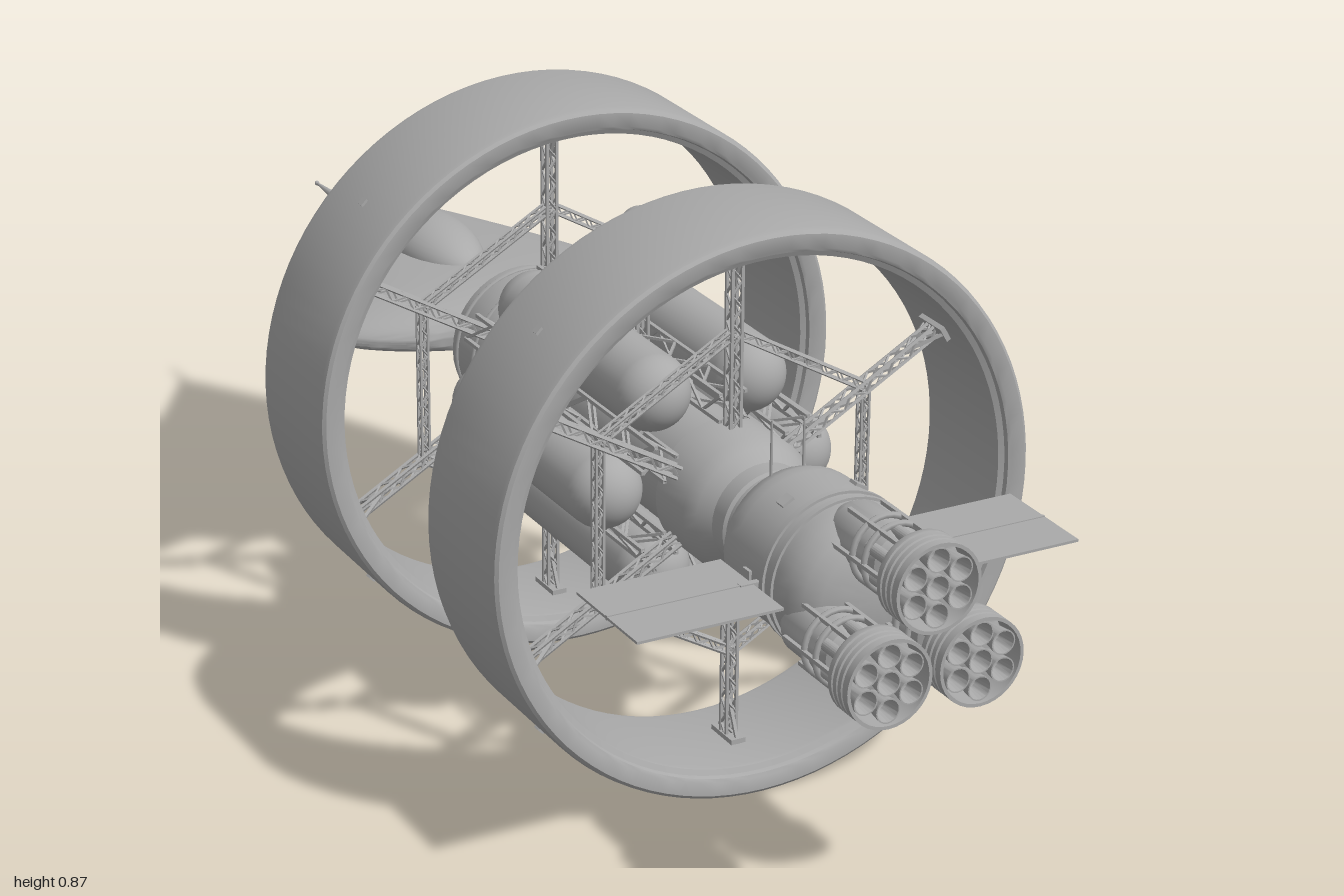
import * as THREE from 'three';
import { mergeGeometries, toCreasedNormals } from 'three/addons/utils/BufferGeometryUtils.js';

const hullGrey = new THREE.MeshStandardMaterial({ color: 0xaaaaaa });
hullGrey.name = 'hullGrey';
const V = (x, y, z) => new THREE.Vector3(x, y, z);
const AXIS_Y = 0.435;

export function createModel() {
  const model = new THREE.Group();
  model.name = 'ringShip';
  // everything below is built around the ship axis (z) and lifted at the end
  const ship = new THREE.Group();
  ship.name = 'ship';
  ship.position.y = AXIS_Y;
  model.add(ship);

  const add = (name, geo, x = 0, y = 0, z = 0, parent = ship) => {
    const m = new THREE.Mesh(geo, hullGrey);
    m.name = name;
    m.position.set(x, y, z);
    parent.add(m);
    return m;
  };
  // turned part along z, from [radius, z] pairs
  const turned = (pts, seg = 40) => {
    const g = new THREE.LatheGeometry(pts.map(p => new THREE.Vector2(p[0], p[1])), seg);
    g.rotateX(Math.PI / 2);
    return toCreasedNormals(g, 0.6);
  };
  const bar = (a, b, t) => {
    const d = b.clone().sub(a);
    const g = new THREE.BoxGeometry(t, t, d.length());
    g.applyQuaternion(new THREE.Quaternion().setFromUnitVectors(V(0, 0, 1), d.normalize()));
    return g.translate((a.x + b.x) / 2, (a.y + b.y) / 2, (a.z + b.z) / 2);
  };
  // square lattice girder from a to b
  const girder = (a, b, w, side, t = 0.0045) => {
    const dir = b.clone().sub(a).normalize();
    const s = side.clone().multiplyScalar(w / 2);
    const u = dir.clone().cross(side).normalize().multiplyScalar(w / 2);
    const corners = [s.clone().add(u), s.clone().sub(u), s.clone().add(u).negate(), u.clone().sub(s)];
    const n = Math.max(2, Math.round(a.distanceTo(b) / (w * 1.3)));
    const at = (c, i) => a.clone().lerp(b, i / n).add(corners[c % 4]);
    const bars = [];
    for (let c = 0; c < 4; c++) {
      bars.push(bar(at(c, 0), at(c, n), t));
      for (let i = 0; i < n; i++) bars.push(bar(at(c + i % 2, i), at(c + (i + 1) % 2, i + 1), t * 0.65));
    }
    return mergeGeometries(bars);
  };
  const polar = (r, deg, z = 0) => V(r * Math.cos(deg * Math.PI / 180), r * Math.sin(deg * Math.PI / 180), z);
  const zAxis = V(0, 0, 1);

  // the two habitat rings with their spokes and hexagonal bracing
  for (const [name, z] of [['front', 0.445], ['rear', -0.125]]) {
    add(name + 'Ring', turned([
      [0.427, -0.108], [0.432, -0.104], [0.434, -0.096], [0.434, 0.096], [0.432, 0.104], [0.427, 0.108],
      [0.406, 0.108], [0.401, 0.105], [0.399, 0.098], [0.391, 0.094], [0.390, 0.088],
      [0.390, -0.088], [0.391, -0.094], [0.399, -0.098], [0.401, -0.105], [0.406, -0.108], [0.427, -0.108],
    ], 96), 0, 0, z);
    for (let i = 0; i < 6; i++) {
      const deg = 30 + i * 60;
      add(name + 'Spoke', girder(polar(0.08, deg, z), polar(0.39, deg, z), 0.016, zAxis));
      add(name + 'Brace', girder(polar(0.25, deg, z), polar(0.25, deg + 60, z), 0.012, zAxis, 0.0035));
      const foot = add(name + 'SpokeFoot', new THREE.BoxGeometry(0.008, 0.024, 0.06));
      foot.position.copy(polar(0.386, deg, z));
      foot.rotation.z = deg * Math.PI / 180;
      // splayed struts where the spoke meets the ring
      for (const s of [-1, 1]) add(name + 'SpokeStrut', bar(polar(0.33, deg, z), polar(0.388, deg, z + s * 0.027), 0.005));
    }
    for (let i = 0; i < 4; i++) {
      const nub = add(name + 'Thruster', new THREE.BoxGeometry(0.008, 0.012, 0.012));
      nub.position.copy(polar(0.434, 45 + i * 90, z - 0.005));
      nub.rotation.z = (45 + i * 90) * Math.PI / 180;
    }
  }

  // six long tanks with lengthwise girders between them
  for (let i = 0; i < 6; i++) {
    const p = polar(0.157, i * 60, 0.165);
    add('tank', new THREE.CapsuleGeometry(0.058, 0.36, 10, 32).rotateX(Math.PI / 2), p.x, p.y, p.z);
    const d = 30 + i * 60;
    add('lengthGirder', girder(polar(0.135, d, -0.125), polar(0.135, d, 0.445), 0.04, polar(1, d + 90), 0.006));
  }

  // vertical pods on short girders
  for (const s of [-1, 1]) {
    add('pod', new THREE.CapsuleGeometry(0.031, 0.024, 10, 24), 0, s * 0.302, 0.165);
    add('podGirder', girder(V(0, s * 0.09, 0.165), V(0, s * 0.262, 0.165), 0.018, zAxis));
  }

  // central core, from the rear docking disc to the front neck
  add('core', turned([
    [0, -0.25], [0.05, -0.25], [0.055, -0.24], [0.09, -0.24], [0.118, -0.225], [0.12, -0.215], [0.12, -0.14],
    [0.11, -0.115], [0.092, -0.10], [0.092, 0.40], [0.105, 0.41], [0.105, 0.49], [0.095, 0.51],
    [0.08, 0.53], [0.08, 0.56], [0.074, 0.565], [0.08, 0.57], [0.08, 0.585], [0.07, 0.60], [0, 0.60],
  ]));
  for (const z of [-0.15, -0.205]) add('coreBand', new THREE.TorusGeometry(0.12, 0.004, 6, 48), 0, 0, z);

  // drive module with bands
  add('driveModule', turned([
    [0, 0.585], [0.06, 0.587], [0.088, 0.595], [0.106, 0.61], [0.114, 0.632], [0.115, 0.65],
    [0.115, 0.77], [0.112, 0.795], [0.10, 0.818], [0.08, 0.833], [0.05, 0.842], [0, 0.845],
  ]));
  for (const z of [0.735, 0.758]) add('driveBand', new THREE.CylinderGeometry(0.119, 0.119, 0.009, 48).rotateX(Math.PI / 2), 0, 0, z);
  for (let i = 0; i < 6; i++) {
    const box = add('driveHatch', new THREE.BoxGeometry(0.008, 0.02, 0.018));
    box.position.copy(polar(0.115, 60 * i, 0.695));
    box.rotation.z = i * Math.PI / 3;
  }

  // three engine clusters of seven nozzles
  const nozzle = turned([
    [0.009, 0.88], [0.009, 0.94], [0.014, 0.96], [0.0185, 0.997], [0.0165, 0.997], [0.012, 0.968], [0, 0.962],
  ], 20);
  for (const deg of [90, 210, 330]) {
    const c = polar(0.083, deg);
    const cluster = new THREE.Group();
    cluster.name = 'engineCluster';
    cluster.position.copy(c);
    ship.add(cluster);
    add('engineTank', turned([
      [0, 0.76], [0.035, 0.77], [0.045, 0.79], [0.046, 0.88], [0.04, 0.90], [0.025, 0.912], [0, 0.915],
    ], 28), 0, 0, 0, cluster);
    for (const z of [0.86, 0.89]) add('engineBand', new THREE.TorusGeometry(0.05, 0.005, 6, 28), 0, 0, z, cluster);
    // ribbed shroud, open at the end
    const rib = [];
    for (let i = 0; i < 4; i++) rib.push([0.066, 0.95 + i * 0.0125], [0.066, 0.958 + i * 0.0125], [0.063, 0.96 + i * 0.0125]);
    add('engineShroud', turned([[0, 0.945], [0.063, 0.945], ...rib.slice(0, -1), [0.066, 1], [0.061, 1], [0.061, 0.953], [0, 0.953]], 36), 0, 0, 0, cluster);
    add('nozzle', nozzle, 0, 0, 0, cluster);
    for (let i = 0; i < 6; i++) {
      const p = polar(0.0405, 30 + i * 60);
      add('nozzle', nozzle, p.x, p.y, 0, cluster);
      const q = polar(0.052, i * 60);
      add('engineStrut', bar(V(q.x, q.y, 0.81), V(q.x, q.y, 0.95), 0.006), 0, 0, 0, cluster);
    }
  }

  // side panels with arms, and thin masts
  for (const s of [-1, 1]) {
    add('solarPanel', new THREE.BoxGeometry(0.225, 0.004, 0.175), s * 0.2375, 0, 0.7225);
    add('panelArm', new THREE.BoxGeometry(0.04, 0.008, 0.01), s * 0.125, 0, 0.7225);
    add('panelSpine', new THREE.BoxGeometry(0.225, 0.007, 0.005), s * 0.2375, 0, 0.7225);
  }
  add('mast', new THREE.CylinderGeometry(0.0015, 0.0025, 0.1, 6), -0.035, 0.135, 0.615);
  add('mast', new THREE.CylinderGeometry(0.0015, 0.0025, 0.09, 6), 0.035, 0.12, 0.585);

  // lens-shaped lander: plan outline turned, then flattened above and below
  const plan = new THREE.SplineCurve([
    [0.012, -0.918], [0.03, -0.895], [0.07, -0.835], [0.122, -0.755], [0.2, -0.605], [0.255, -0.48], [0.279, -0.395],
    [0.268, -0.34], [0.225, -0.295], [0.15, -0.255], [0.08, -0.24],
  ].map(p => new THREE.Vector2(...p))).getPoints(44);
  const lander = new THREE.LatheGeometry([new THREE.Vector2(0, -0.921), ...plan, new THREE.Vector2(0, -0.238)], 64);
  lander.rotateX(Math.PI / 2);
  const pos = lander.attributes.position;
  for (let i = 0; i < pos.count; i++) {
    const x = pos.getX(i), y = pos.getY(i), w = Math.hypot(x, y);
    if (w < 1e-6) { pos.setY(i, 0.004); continue; }
    const s = y / w, k = Math.sqrt(w / 0.28);
    pos.setY(i, 0.004 + k * (s > 0 ? 0.053 * s ** 1.1 : -0.033 * (-s) ** 0.8));
  }
  lander.computeVertexNormals();
  add('lander', toCreasedNormals(lander, 0.7));
  add('canopy', new THREE.SphereGeometry(1, 32, 20).scale(0.067, 0.05, 0.137), 0, 0.045, -0.543);
  add('bellyDome', new THREE.SphereGeometry(1, 24, 16).scale(0.04, 0.035, 0.04), 0, -0.028, -0.45);
  // belly hatch outline
  for (const s of [-1, 1]) {
    add('hatchEdge', new THREE.BoxGeometry(0.004, 0.006, 0.09), s * 0.045, -0.026, -0.62);
    add('hatchEdge', new THREE.BoxGeometry(0.09, 0.006, 0.004), 0, -0.026, -0.62 + s * 0.045);
  }
  add('dockingBlock', new THREE.BoxGeometry(0.07, 0.035, 0.09), 0, -0.037, -0.25);
  add('noseProbe', new THREE.CylinderGeometry(0.002, 0.008, 0.09, 8).rotateX(-Math.PI / 2), 0, 0.004, -0.95);
  add('probeTip', new THREE.SphereGeometry(0.004, 10, 8), 0, 0.004, -0.996);
  return model;
}
